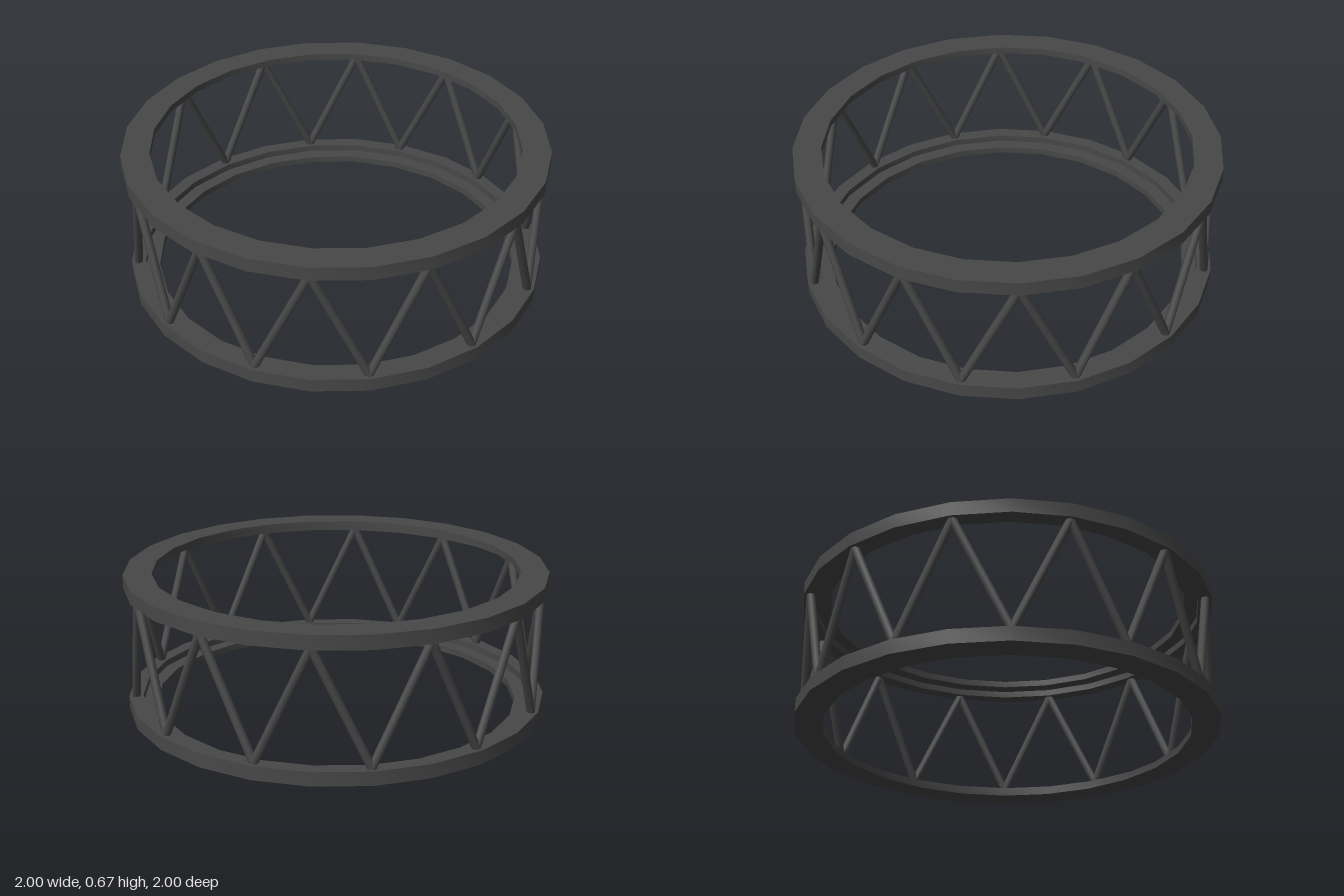
import * as THREE from 'three';
import { toCreasedNormals } from 'three/addons/utils/BufferGeometryUtils.js';

const HEIGHT = 0.668, BAND = 0.066, LIP = 0.033;
const OUTER = 1, STEP = 0.933, INNER = 0.867;
const STRUT_R = (OUTER + STEP) / 2;
const BAYS = 12;

export function createModel() {
  const group = new THREE.Group();
  const metal = new THREE.MeshStandardMaterial({ color: 0x484848 });
  metal.name = 'darkGrey';

  // L-shaped hoop: tall outer band with a thin inner lip
  const addRing = (name, profile) => {
    const pts = profile.map(([r, y]) => new THREE.Vector2(r, y));
    pts.push(pts[0].clone());
    const geo = toCreasedNormals(new THREE.LatheGeometry(pts, 24), 0.5);
    const ring = new THREE.Mesh(geo, metal);
    ring.name = name;
    group.add(ring);
  };
  const lower = [[INNER, 0], [OUTER, 0], [OUTER, BAND], [STEP, BAND], [STEP, LIP], [INNER, LIP]];
  addRing('lowerRing', lower);
  // mirrored in height; reversed to keep the faces outward
  addRing('upperRing', lower.map(([r, y]) => [r, HEIGHT - y]).reverse());

  // zigzag struts between the hoops
  const struts = new THREE.Group();
  struts.name = 'struts';
  const up = new THREE.Vector3(0, 1, 0);
  const at = (angle, y) => new THREE.Vector3(Math.sin(angle) * STRUT_R, y, Math.cos(angle) * STRUT_R);
  for (let i = 0; i < BAYS; i++) {
    const a = (i / BAYS) * Math.PI * 2;
    for (const side of [-1, 1]) {
      const foot = at(a, BAND);
      const head = at(a + side * Math.PI / BAYS, HEIGHT - BAND);
      const dir = head.clone().sub(foot);
      const strut = new THREE.Mesh(new THREE.CylinderGeometry(0.02, 0.02, dir.length(), 8), metal);
      strut.name = 'strut';
      strut.position.copy(foot).add(head).multiplyScalar(0.5);
      strut.quaternion.setFromUnitVectors(up, dir.normalize());
      struts.add(strut);
    }
  }
  group.add(struts);
  return group;
}
